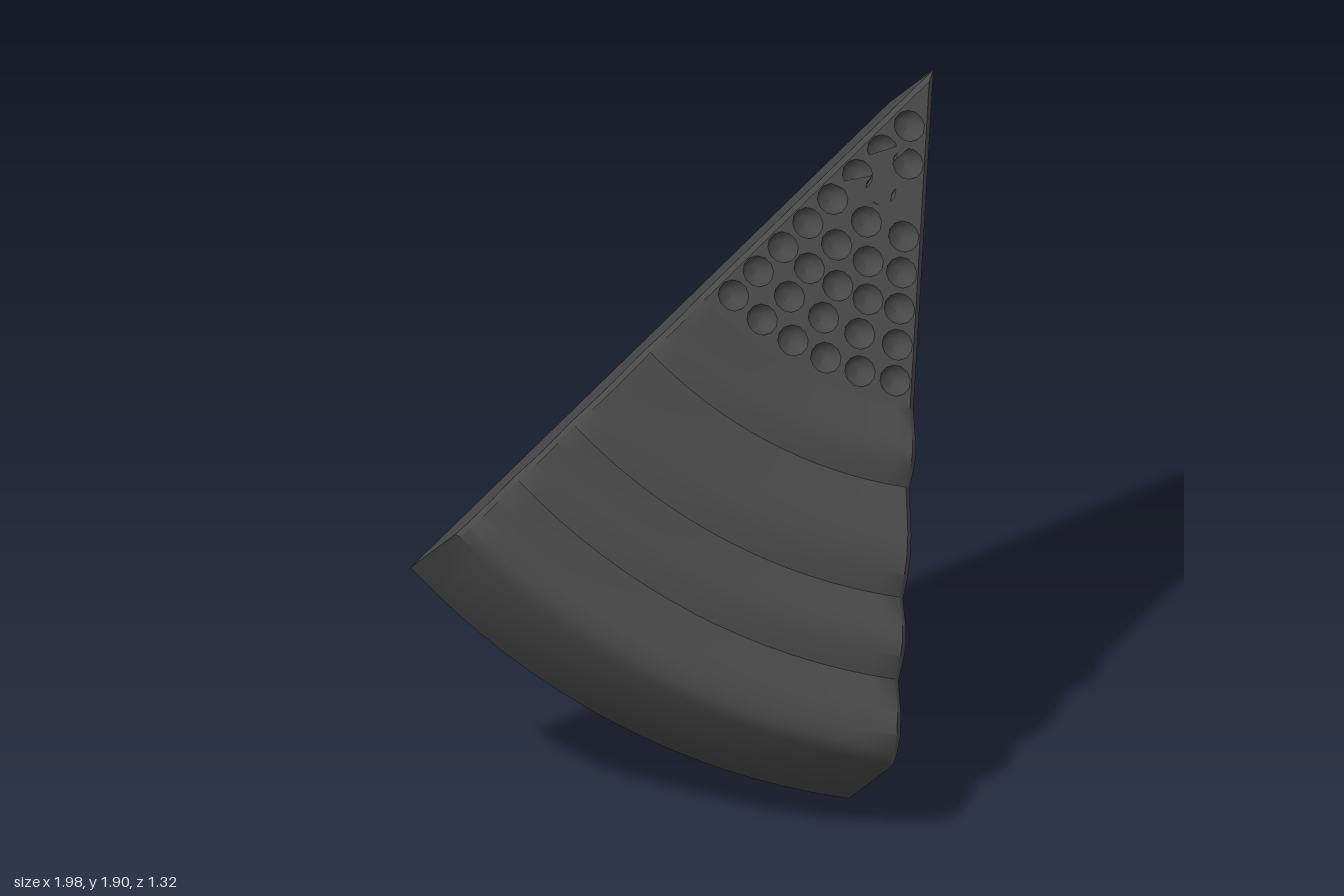
import * as THREE from 'three';
import { toCreasedNormals } from 'three/addons/utils/BufferGeometryUtils.js';

const HALF = 0.356;      // half opening angle of the wedge
const TOP = 0.435;       // height of the flat tip area
const BEVEL = 0.016;     // small chamfer along the upper side edges
const SEGS = 18;
const PIT = 0.047;

// stepped ridges, from the rim inwards: [radius, height]
const ridges = [
  [2.115, 0.44], [2.085, 0.475], [2.04, 0.496], [1.97, 0.489], [1.86, 0.445],
  [1.80, 0.485], [1.757, 0.498], [1.705, 0.487], [1.61, 0.441],
  [1.55, 0.477], [1.505, 0.49], [1.43, 0.488], [1.276, 0.441],
  [1.225, 0.473], [1.185, 0.486], [1.139, 0.476], [1.035, TOP],
];
const tipRadius = 1.035;

// angle of a column; the outermost columns bound the chamfer
function columnAngle(j, r) {
  const inner = HALF - BEVEL / r;
  if (j === 0) return -HALF;
  if (j === SEGS) return HALF;
  return -inner + (2 * inner * (j - 1)) / (SEGS - 2);
}

const polar = (r, a, h) => new THREE.Vector3(r * Math.sin(a), h, r * Math.cos(a));

// flat shape in the x-z plane, facing up
function flatShape(points, holes = []) {
  const shape = new THREE.Shape(points.map((p) => new THREE.Vector2(p.x, -p.z)));
  for (const c of holes) {
    shape.holes.push(new THREE.Path().absarc(c.x, -c.z, PIT, 0, Math.PI * 2, true));
  }
  return new THREE.ShapeGeometry(shape, 6).rotateX(-Math.PI / 2);
}

export function createModel() {
  const group = new THREE.Group();
  group.name = 'ridgedWedge';
  const material = new THREE.MeshStandardMaterial({ color: 0x484848, side: THREE.DoubleSide });
  const body = new THREE.Group();
  body.name = 'wedgeBody';
  group.add(body);
  const add = (geometry, name) => {
    const mesh = new THREE.Mesh(geometry, material);
    mesh.name = name;
    body.add(mesh);
    return mesh;
  };

  // outer rim and concentric ridges, swept around the tip
  const profile = [[2.115, 0], ...ridges].map(([r, h]) => new THREE.Vector2(r, h));
  const sweep = new THREE.LatheGeometry(profile, SEGS, -HALF, 2 * HALF);
  const pos = sweep.attributes.position;
  for (let i = 0; i < pos.count; i++) {
    const j = Math.floor(i / profile.length);
    const { x: r, y: h } = profile[i % profile.length];
    const drop = h > 0 && (j === 0 || j === SEGS) ? BEVEL : 0;
    const p = polar(r, columnAngle(j, r), h - drop);
    pos.setXYZ(i, p.x, p.y, p.z);
  }
  add(toCreasedNormals(sweep, 0.75), 'ridgedTop');

  // flat tip with rows of round pits
  const counts = [6, 5, 5, 4, 3, 3, 2, 1];
  const pits = [];
  counts.forEach((n, row) => {
    const r = 0.96 - row * 0.109;
    const spread = HALF - 0.066 / r;
    for (let k = 0; k < n; k++) {
      const a = n > 1 ? -spread + (2 * spread * k) / (n - 1) : 0;
      pits.push(polar(r, a, TOP));
    }
  });
  const innerTip = polar(BEVEL / Math.sin(HALF), 0, TOP);
  const patch = [innerTip];
  for (let j = 1; j < SEGS; j++) patch.push(polar(tipRadius, columnAngle(j, tipRadius), TOP));
  add(flatShape(patch, pits).translate(0, TOP, 0), 'pittedTip');

  // bowl inside each pit
  const bowlProfile = [[PIT, 0], [0.042, -0.016], [0.028, -0.03], [0, -0.036]]
    .map(([r, h]) => new THREE.Vector2(r, h));
  const bowl = new THREE.LatheGeometry(bowlProfile, 12);
  for (const p of pits) add(bowl, 'pit').position.copy(p);

  // side walls and the chamfers beside the tip
  for (const side of [-1, 1]) {
    const outline = [[0, 0], [2.115, 0], ...ridges.map(([r, h]) => [r, h - BEVEL]), [0, TOP - BEVEL]];
    const wall = new THREE.ShapeGeometry(
      new THREE.Shape(outline.map(([r, h]) => new THREE.Vector2(-side * r, h))));
    add(wall.rotateY(side * (HALF + Math.PI / 2)), side > 0 ? 'leftWall' : 'rightWall');

    const quad = [
      polar(0, 0, TOP - BEVEL),
      polar(tipRadius, side * HALF, TOP - BEVEL),
      polar(tipRadius, side * (HALF - BEVEL / tipRadius), TOP),
      innerTip,
    ];
    const chamfer = new THREE.BufferGeometry().setFromPoints(quad);
    chamfer.setIndex(side > 0 ? [0, 2, 1, 0, 3, 2] : [0, 1, 2, 0, 2, 3]);
    chamfer.computeVertexNormals();
    add(chamfer, 'tipChamfer');
  }

  // flat underside
  const base = [new THREE.Vector3()];
  for (let j = 0; j <= SEGS; j++) base.push(polar(2.115, columnAngle(j, 2.115), 0));
  const under = flatShape(base);
  under.index.array.reverse();
  under.computeVertexNormals();
  add(under, 'underside');

  // lean the wedge back and roll it to one side
  const up = new THREE.Vector3(-0.218, 0.576, 0.788).normalize();
  const across = up.clone().cross(new THREE.Vector3(-0.701, -0.656, 0.28)).normalize();
  const forward = across.clone().cross(up);
  body.applyMatrix4(new THREE.Matrix4().makeBasis(across, up, forward).setPosition(0.99, 1.665, -0.66));
  return group;
}
